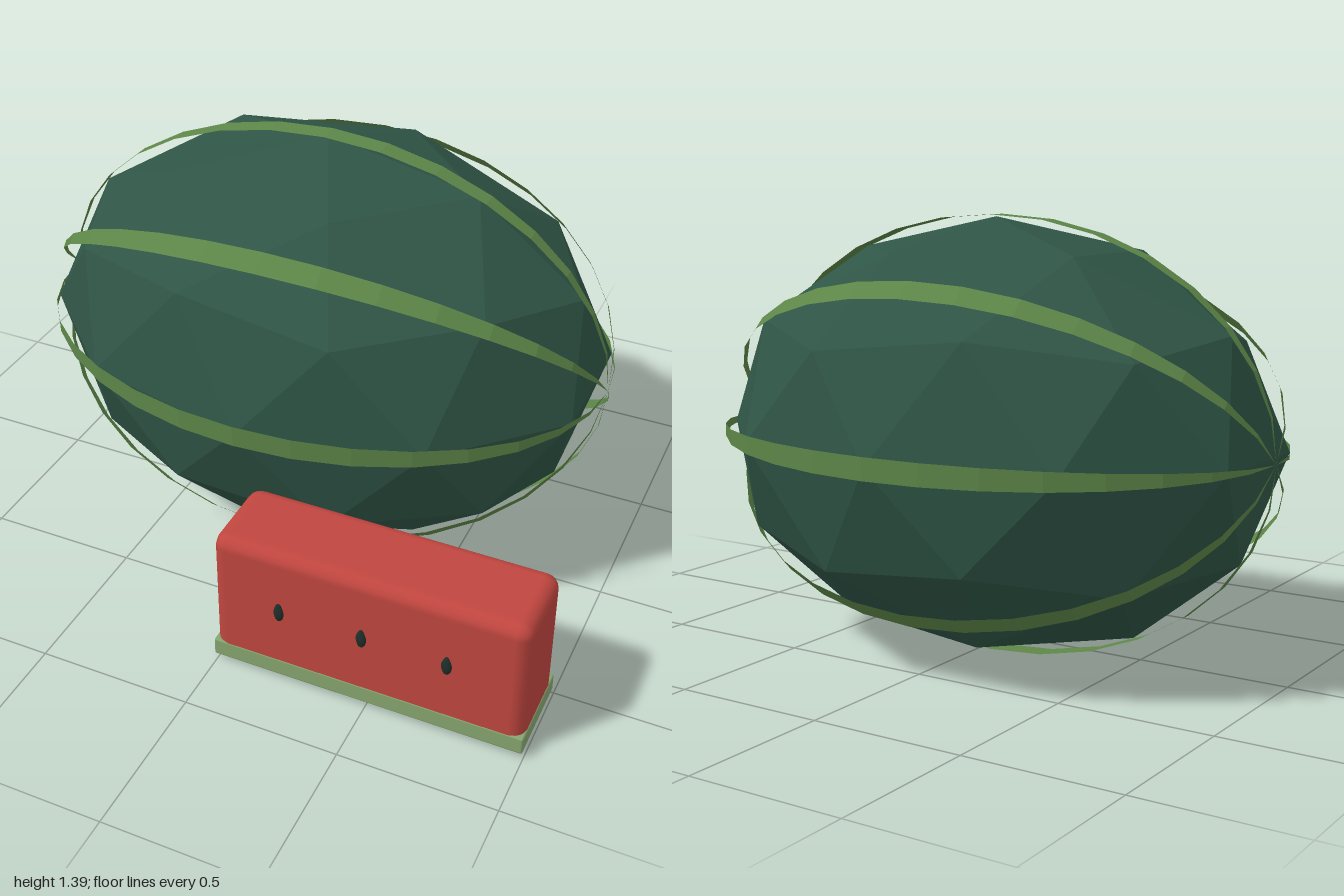
import * as THREE from 'three';
import { RoundedBoxGeometry } from 'three/addons/geometries/RoundedBoxGeometry.js';

const paint = (name, color, extra = {}) => {
  const m = new THREE.MeshStandardMaterial({ color, ...extra });
  m.name = name;
  return m;
};

// Ribbon from pole to pole along x, narrowing to a point at both ends
function stripeGeometry(length, radius, width, segments) {
  const pos = [], index = [];
  for (let i = 0; i <= segments; i++) {
    const t = (i / segments) * Math.PI;
    const s = Math.sin(t);
    const x = -length * Math.cos(t), h = (width / 2) * s;
    pos.push(x, radius * s, h, x, radius * s, -h);
    if (i < segments) {
      const a = i * 2;
      index.push(a, a + 2, a + 1, a + 1, a + 2, a + 3);
    }
  }
  const g = new THREE.BufferGeometry();
  g.setAttribute('position', new THREE.Float32BufferAttribute(pos, 3));
  g.setIndex(index);
  g.computeVertexNormals();
  return g;
}

export function createModel() {
  const rindDark = paint('dark green rind', 0x2f5546, { flatShading: true });
  const stripeGreen = paint('stripe green', 0x5d8648, { flatShading: true, side: THREE.DoubleSide });
  const flesh = paint('red flesh', 0xc0463f);
  const rindPale = paint('pale green rind', 0x86a670);
  const seedDark = paint('dark seed', 0x1f2f29);

  const model = new THREE.Group();
  model.name = 'melonWithSlice';
  const add = (parent, name, geometry, material, x = 0, y = 0, z = 0) => {
    const mesh = new THREE.Mesh(geometry, material);
    mesh.name = name;
    mesh.position.set(x, y, z);
    parent.add(mesh);
    return mesh;
  };

  // Whole melon: faceted ball with a corner turned to the top, stretched along x
  const melon = new THREE.Group();
  melon.name = 'melon';
  melon.position.set(-0.04, 0.7, -0.127);
  model.add(melon);
  const body = new THREE.IcosahedronGeometry(1, 1);
  body.rotateZ(-Math.atan2(1, (1 + Math.sqrt(5)) / 2));
  body.scale(0.956, 0.69, 0.69);
  add(melon, 'melonBody', body, rindDark);

  // Eight stripes around the long axis
  const stripe = stripeGeometry(0.96, 0.697, 0.07, 16);
  for (let i = 0; i < 8; i++) {
    add(melon, 'stripe', stripe, stripeGreen).rotation.x = (i * Math.PI) / 4;
  }

  // Cut slice: rounded flesh block on a rind base
  const slice = new THREE.Group();
  slice.name = 'slice';
  slice.position.set(0.493, 0, 0.646);
  model.add(slice);
  add(slice, 'flesh', new RoundedBoxGeometry(1.0, 0.465, 0.288, 2, 0.045), flesh, 0, 0.2575, 0);
  add(slice, 'rindBase', new RoundedBoxGeometry(1.006, 0.06, 0.292, 1, 0.006), rindPale, 0, 0.05, 0);

  // Three teardrop seeds in front of the flesh
  const seed = new THREE.SphereGeometry(1, 8, 8);
  const p = seed.attributes.position;
  for (let i = 0; i < p.count; i++) {
    const taper = 1 - 0.35 * Math.max(0, p.getY(i));
    p.setX(i, p.getX(i) * taper);
    p.setZ(i, p.getZ(i) * taper);
  }
  seed.scale(0.017, 0.034, 0.009);
  seed.computeVertexNormals();
  for (const x of [-0.266, 0, 0.266]) add(slice, 'seed', seed, seedDark, x, 0.3, 0.169);

  return model;
}
